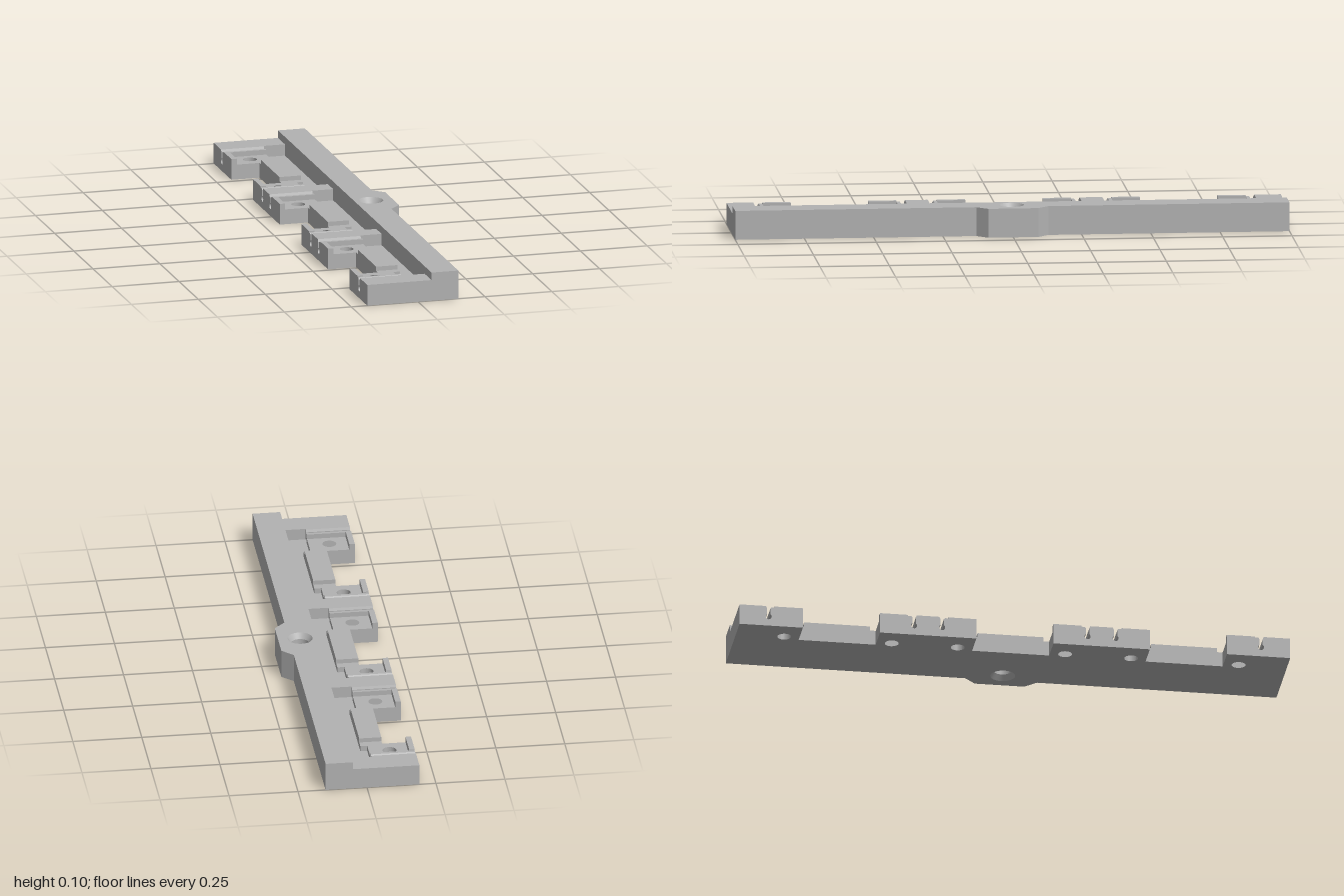
import * as THREE from 'three';

const grey = new THREE.MeshStandardMaterial({ color: 0xb2b2b2 });
grey.name = 'plain grey';

function add(group, name, geometry) {
  const mesh = new THREE.Mesh(geometry, grey);
  mesh.name = name;
  group.add(mesh);
  return mesh;
}

// Box given by its limits on each axis
function block(group, name, x0, x1, y0, y1, z0, z1) {
  const g = new THREE.BoxGeometry(x1 - x0, y1 - y0, Math.abs(z1 - z0));
  g.translate((x0 + x1) / 2, (y0 + y1) / 2, (z0 + z1) / 2);
  return add(group, name, g);
}

// Plan outline of [x, z] points with one round hole, raised to a height
function plate(outline, hole, height) {
  const shape = new THREE.Shape(outline.map(([x, z]) => new THREE.Vector2(x, -z)));
  shape.holes.push(new THREE.Path().absarc(hole.x, -hole.z, hole.r, 0, Math.PI * 2, true));
  const g = new THREE.ExtrudeGeometry(shape, { depth: height, bevelEnabled: false, curveSegments: 20 });
  return g.rotateX(-Math.PI / 2);
}

const TOP = 0.077, RAIL = 0.105, FLOOR = 0.055, CHANNEL = 0.035;
const IN = 0.14, OUT = 0.28, RIDGE = 0.242;

// End of a bay: drilled pad, outer lip and a keyhole groove beside the divider
function makePad(s) {
  const pad = new THREE.Group();
  pad.name = 'mountingPad';
  add(pad, 'drilledPad', plate(
    [[-0.19, s * IN], [-0.03, s * IN], [-0.03, s * RIDGE], [-0.19, s * RIDGE]],
    { x: -0.105, z: s * 0.195, r: 0.025 }, FLOOR));
  block(pad, 'outerLip', -0.19, -0.17, FLOOR, TOP, s * IN, s * RIDGE);

  // Groove section in (z, y)
  const c = 0.264, r = 0.011, w = 0.006;
  const points = [[RIDGE, 0], [OUT, 0], [OUT, TOP], [c + 0.01, TOP], [c + w, 0.068]];
  const a0 = Math.acos(w / r);
  for (let i = 0; i <= 14; i++) {
    const a = a0 - (i / 14) * (Math.PI + 2 * a0);
    points.push([c + r * Math.cos(a), 0.036 + r * Math.sin(a)]);
  }
  points.push([c - w, 0.068], [c - 0.01, 0.073], [RIDGE, 0.073]);
  const shape = new THREE.Shape(points.map(([u, y]) => new THREE.Vector2(s * u, y)));
  const g = new THREE.ExtrudeGeometry(shape, { depth: 0.16, bevelEnabled: false });
  g.rotateY(-Math.PI / 2).translate(-0.03, 0, 0);
  add(pad, 'keyholeGroove', g);
  return pad;
}

// One recessed bay with a pad at each end
function makeBay(z) {
  const bay = new THREE.Group();
  bay.name = 'bay';
  block(bay, 'channelFloor', -0.03, 0.05, 0, CHANNEL, -OUT, OUT);
  block(bay, 'bridge', -0.085, -0.03, 0, FLOOR, -IN, IN);
  block(bay, 'bridgeLedge', -0.03, -0.005, CHANNEL, FLOOR, -0.15, 0.15);
  block(bay, 'raisedStrip', -0.085, -0.005, FLOOR, 0.071, -0.12, 0.12);
  bay.add(makePad(1), makePad(-1));
  bay.position.z = z;
  return bay;
}

export function createModel() {
  const model = new THREE.Group();
  model.name = 'mountingRail';

  // Tall rail with a boss on its outer side
  add(model, 'rail', plate(
    [[0.05, 1], [0.15, 1], [0.15, 0.13], [0.19, 0.09], [0.19, -0.09], [0.15, -0.13], [0.15, -1], [0.05, -1]],
    { x: 0.11, z: 0, r: 0.045 }, RAIL));

  // Countersunk bore through the rail
  const profile = [[0.045, RAIL], [0.032, 0.085], [0.032, 0.085], [0.032, 0.02], [0.032, 0.02], [0.045, 0]];
  const bore = new THREE.LatheGeometry(profile.map(([r, y]) => new THREE.Vector2(r, y)), 40);
  add(model, 'countersunkBore', bore.translate(0.11, 0, 0));

  // End blocks and dividers
  for (const s of [-1, 1]) {
    block(model, 'endBlock', -0.19, 0.05, 0, TOP, s * 0.91, s);
    block(model, 'divider', -0.19, 0.05, 0, TOP, s * 0.28, s * 0.35);
  }

  for (const z of [-0.63, 0, 0.63]) model.add(makeBay(z));
  return model;
}
